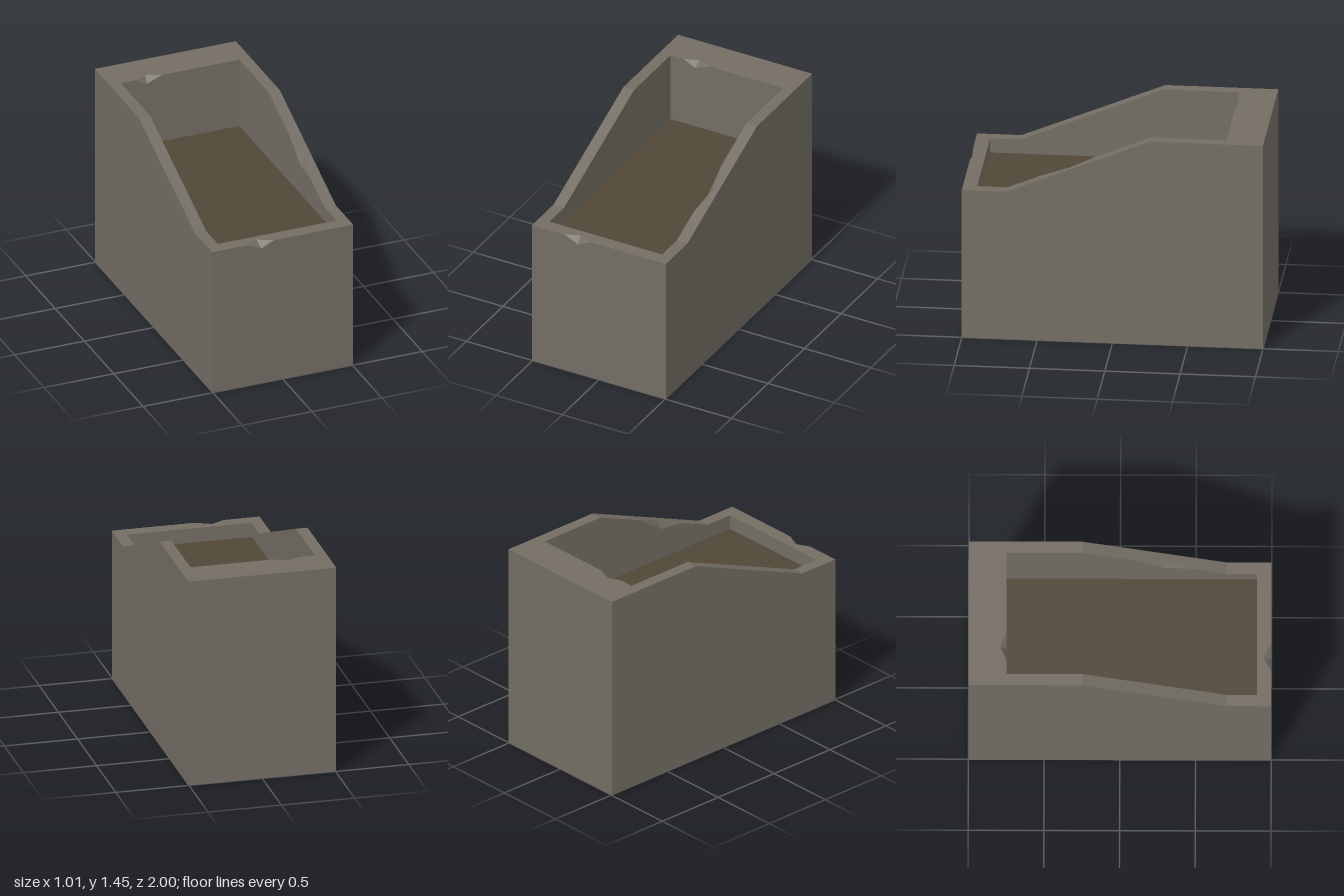
import * as THREE from 'three';

// Main dimensions: outer half width, inner half width, inner ends, heights
const X = 0.505, XI = 0.425, ZB = -0.75, ZF = 0.905;
const HIGH = 1.445, LOW = 1.05, SOIL = 0.95;
const S0 = -0.25, S1 = 0.705; // start and end of the sloping rim
const rimY = z => HIGH + (LOW - HIGH) * (z - S0) / (S1 - S0);
const V = (x, y, z) => new THREE.Vector3(x, y, z);

// Chipped edges: a and b on the edge, tip on the rim, low on the wall
const frontChip = { a: V(-0.26, LOW, 1), b: V(-0.06, LOW, 1), tip: V(-0.165, LOW, 0.95), low: V(-0.155, 1.005, 1) };
const backChip = { a: V(-0.325, HIGH, ZB), b: V(-0.13, HIGH, ZB), tip: V(-0.23, HIGH, -0.79), low: V(-0.24, 1.4, ZB) };
const sideChip = { a: V(XI, rimY(0.1), 0.1), b: V(XI, rimY(0.47), 0.47), tip: V(0.46, rimY(0.285), 0.285), low: V(XI, 1.164, 0.295) };

// Flat-sided mesh from planar polygons, each given as [direction it faces, corners]
function polyMesh(name, faces, material) {
  const pos = [];
  for (const [facing, corners] of faces) {
    let pts = corners;
    const n = V(0, 0, 0);
    pts.forEach((p, i) => n.add(p.clone().cross(pts[(i + 1) % pts.length])));
    n.normalize();
    if (n.dot(facing) < 0) { pts = pts.slice().reverse(); n.negate(); }
    const u = pts[1].clone().sub(pts[0]).normalize();
    const v = n.clone().cross(u);
    const flat = pts.map(p => new THREE.Vector2(p.dot(u), p.dot(v)));
    for (const tri of THREE.ShapeUtils.triangulateShape(flat, [])) {
      for (const i of tri) pos.push(pts[i].x, pts[i].y, pts[i].z);
    }
  }
  const geo = new THREE.BufferGeometry();
  geo.setAttribute('position', new THREE.Float32BufferAttribute(pos, 3));
  geo.computeVertexNormals();
  const mesh = new THREE.Mesh(geo, material);
  mesh.name = name;
  return mesh;
}

export function createModel() {
  const stone = new THREE.MeshStandardMaterial({ color: 0x736d64 });
  stone.name = 'stone';
  const earth = new THREE.MeshStandardMaterial({ color: 0x524738 });
  earth.name = 'earth';
  const up = V(0, 1, 0), front = V(0, 0, 1), back = V(0, 0, -1);
  const group = new THREE.Group();
  group.name = 'stoneTrough';

  // Outer walls and underside
  const outer = [
    [front, [V(-X, 0, 1), V(X, 0, 1), V(X, LOW, 1), frontChip.b, frontChip.low, frontChip.a, V(-X, LOW, 1)]],
    [back, [V(-X, 0, -1), V(X, 0, -1), V(X, HIGH, -1), V(-X, HIGH, -1)]],
    [V(0, -1, 0), [V(-X, 0, -1), V(X, 0, -1), V(X, 0, 1), V(-X, 0, 1)]],
  ];
  // Inner walls
  const inner = [
    [front, [V(-XI, SOIL, ZB), V(XI, SOIL, ZB), V(XI, HIGH, ZB), backChip.b, backChip.low, backChip.a, V(-XI, HIGH, ZB)]],
    [back, [V(-XI, SOIL, ZF), V(XI, SOIL, ZF), V(XI, LOW, ZF), V(-XI, LOW, ZF)]],
  ];
  // Rim: high U at the back, low U at the front, a slope on each side
  const rim = [
    [up, [V(-X, HIGH, -1), V(X, HIGH, -1), V(X, HIGH, S0), V(XI, HIGH, S0), V(XI, HIGH, ZB),
      backChip.b, backChip.tip, backChip.a, V(-XI, HIGH, ZB), V(-XI, HIGH, S0), V(-X, HIGH, S0)]],
    [up, [V(-X, LOW, 1), frontChip.a, frontChip.tip, frontChip.b, V(X, LOW, 1), V(X, LOW, S1),
      V(XI, LOW, S1), V(XI, LOW, ZF), V(-XI, LOW, ZF), V(-XI, LOW, S1), V(-X, LOW, S1)]],
  ];
  for (const s of [-1, 1]) {
    const notch = (p) => s > 0 ? [sideChip.a, p, sideChip.b] : [];
    outer.push([V(s, 0, 0), [V(s * X, 0, -1), V(s * X, 0, 1), V(s * X, LOW, 1), V(s * X, LOW, S1), V(s * X, HIGH, S0), V(s * X, HIGH, -1)]]);
    inner.push([V(-s, 0, 0), [V(s * XI, SOIL, ZF), V(s * XI, SOIL, ZB), V(s * XI, HIGH, ZB), V(s * XI, HIGH, S0),
      ...notch(sideChip.low), V(s * XI, LOW, S1), V(s * XI, LOW, ZF)]]);
    rim.push([up, [V(s * X, LOW, S1), V(s * X, HIGH, S0), V(s * XI, HIGH, S0), ...notch(sideChip.tip), V(s * XI, LOW, S1)]]);
  }
  // Two broken facets inside each chip, facing one another
  const chips = [];
  for (const { a, b, tip, low } of [frontChip, backChip, sideChip]) {
    chips.push([b.clone().sub(a), [a, tip, low]], [a.clone().sub(b), [b, tip, low]]);
  }
  // Earth filling
  const soil = [[up, [V(-XI, SOIL, ZF), V(XI, SOIL, ZF), V(XI, SOIL, ZB), V(-XI, SOIL, ZB)]]];

  group.add(
    polyMesh('outerWalls', outer, stone),
    polyMesh('innerWalls', inner, stone),
    polyMesh('rim', rim, stone),
    polyMesh('chippedEdges', chips, stone),
    polyMesh('soil', soil, earth),
  );
  return group;
}
